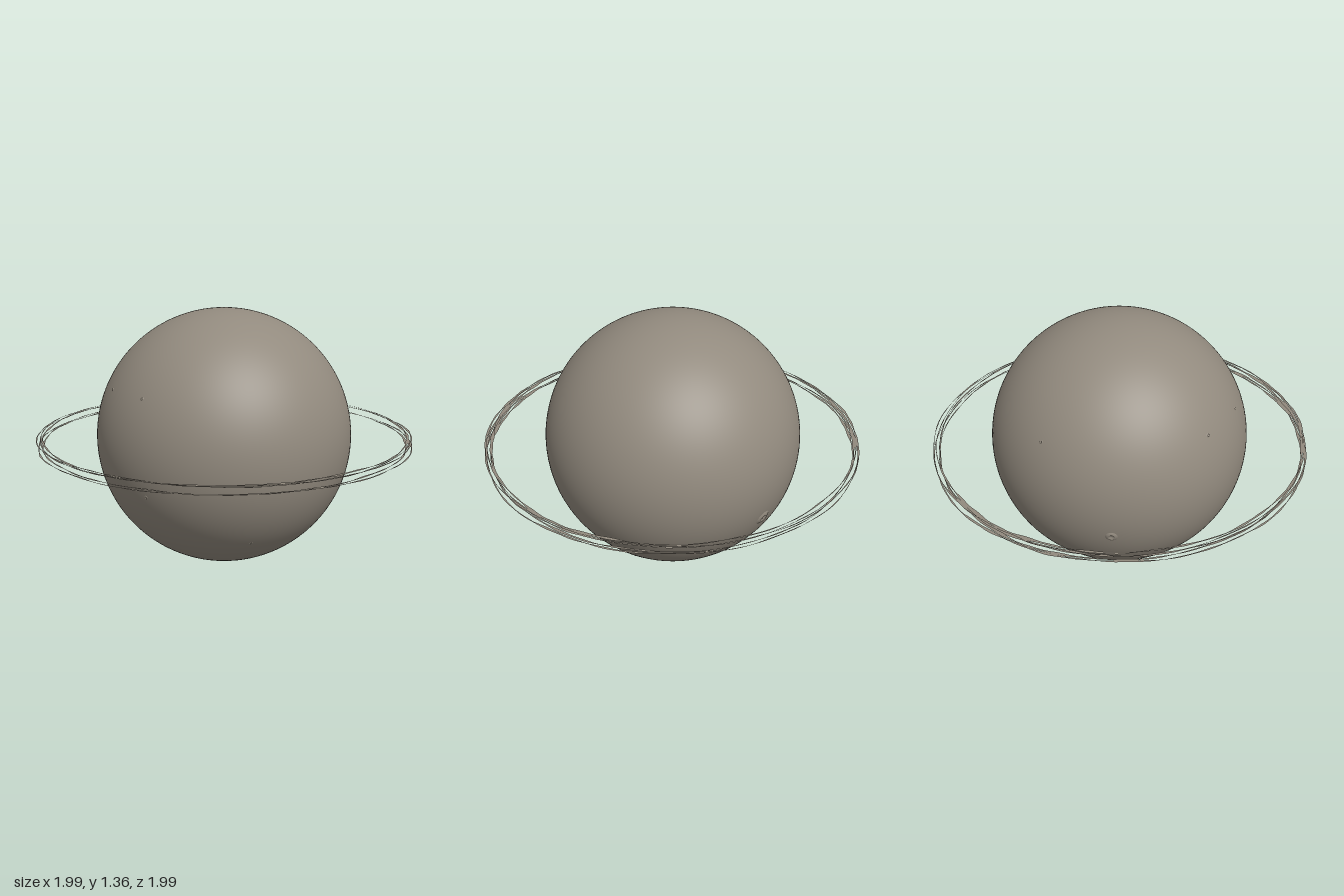
import * as THREE from 'three';

const stone = new THREE.MeshStandardMaterial({ color: 0x928a7e });
stone.name = 'warm grey stone';
const ringStone = new THREE.MeshStandardMaterial({ color: 0x928a7e, side: THREE.DoubleSide });
ringStone.name = 'warm grey ring';

const CENTRE = new THREE.Vector3(0, 0.684, -0.005);
const RADIUS = 0.682;

// Ring fullness every 30 degrees, starting at +x and turning towards +z
const FULLNESS = [0.6, 1.1, 0.5, 1.1, 1.2, 0.8, 0.7, 0.6, 0.9, 1.2, 0.35, 0.4];

function fullnessAt(t) {
  const f = (t / (Math.PI * 2)) * FULLNESS.length;
  const i = Math.floor(f);
  const n = FULLNESS.length;
  return THREE.MathUtils.lerp(FULLNESS[i % n], FULLNESS[(i + 1) % n], f - i);
}

// Flat, ragged ribbon that wanders around the planet
function ribbon(radius, width, y, phase) {
  const steps = 360, positions = [], index = [];
  for (let i = 0; i <= steps; i++) {
    const t = (i / steps) * Math.PI * 2;
    const mid = radius + 0.004 * Math.sin(3 * t + phase) + 0.003 * Math.sin(11 * t + phase * 2);
    const ragged = 1 + 0.35 * Math.sin(17 * t + phase * 3) + 0.3 * Math.sin(41 * t + phase);
    const half = Math.max(0.001, (width / 2) * fullnessAt(t) * ragged);
    const h = y + 0.0012 * Math.sin(5 * t + phase) + 0.0008 * Math.sin(23 * t + phase);
    for (const r of [mid - half, mid + half]) {
      const rr = Math.min(r, 0.998);
      positions.push(rr * Math.cos(t), h, rr * Math.sin(t));
    }
    if (i < steps) {
      const a = i * 2;
      index.push(a, a + 2, a + 1, a + 1, a + 2, a + 3);
    }
  }
  const g = new THREE.BufferGeometry();
  g.setAttribute('position', new THREE.Float32BufferAttribute(positions, 3));
  // Wound so that the top faces up
  index.reverse();
  g.setIndex(index);
  g.computeVertexNormals();
  return g;
}

// Low raised rim with a shallow hollow, laid on the sphere along a direction
function crater(x, y, z, size, stretch) {
  const profile = [[1, -0.16], [0.8, 0.0], [0.55, 0.12], [0.42, 0.12], [0.25, 0.0], [0, -0.04]]
    .map(([r, h]) => new THREE.Vector2(r, h));
  const g = new THREE.LatheGeometry(profile, 20);
  const mesh = new THREE.Mesh(g, ringStone);
  const dir = new THREE.Vector3(x, y, z).normalize();
  mesh.position.copy(CENTRE).addScaledVector(dir, RADIUS + size * 0.03);
  mesh.quaternion.setFromUnitVectors(new THREE.Vector3(0, 1, 0), dir);
  mesh.scale.set(size * stretch, size, size);
  mesh.name = 'crater';
  return mesh;
}

export function createModel() {
  const model = new THREE.Group();
  model.name = 'ringedPlanet';

  // Planet
  const planet = new THREE.Mesh(new THREE.SphereGeometry(RADIUS, 128, 80), stone);
  planet.position.copy(CENTRE);
  planet.name = 'planet';
  model.add(planet);

  // Craters: direction from the centre, size, stretch
  const craters = new THREE.Group();
  craters.name = 'craters';
  for (const c of [
    [0.484, -0.215, -0.43, 0.045, 1.1],
    [-0.398, -0.154, -0.534, 0.036, 1],
    [-0.58, 0.295, 0.21, 0.012, 1],
    [-0.61, 0.295, -0.07, 0.012, 1],
    [-0.15, -0.425, 0.51, 0.01, 1.4],
    [0.4, -0.465, 0.29, 0.009, 1],
    [0.4, -0.505, 0.22, 0.009, 1],
    [-0.035, 0.29, -0.615, 0.012, 1],
    [-0.6, -0.18, 0.27, 0.012, 1],
  ]) craters.add(crater(...c));
  model.add(craters);

  // Two layers of ragged ring ribbons: radius, width, height, phase
  const rings = new THREE.Group();
  rings.name = 'rings';
  for (const r of [
    [0.966, 0.013, 0.706, 0.4],
    [0.978, 0.008, 0.703, 2.1],
    [0.989, 0.010, 0.708, 4.0],
    [0.967, 0.011, 0.667, 1.3],
    [0.987, 0.010, 0.668, 5.2],
  ]) {
    const mesh = new THREE.Mesh(ribbon(...r), ringStone);
    mesh.name = 'ringRibbon';
    rings.add(mesh);
  }
  model.add(rings);
  return model;
}
